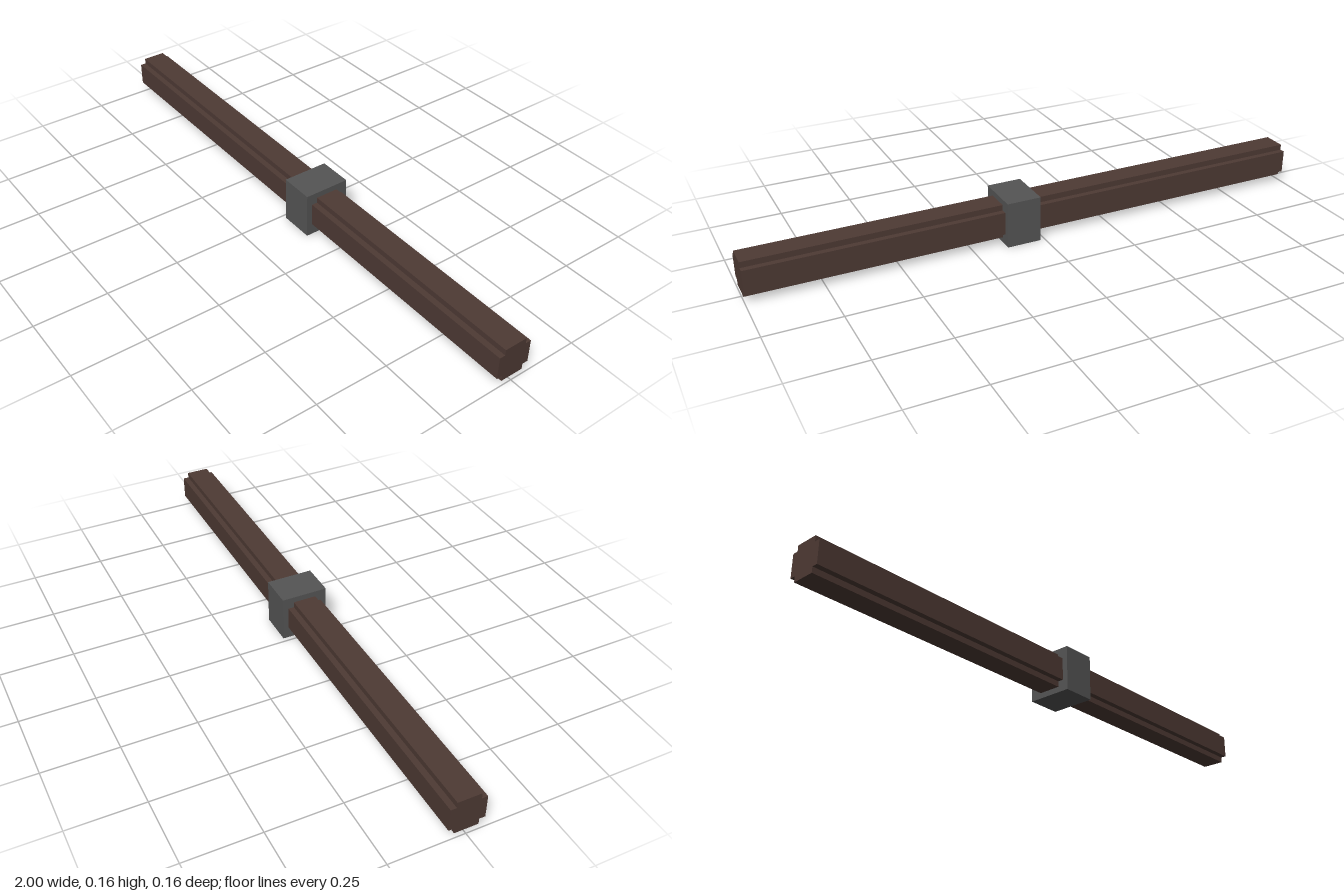
import * as THREE from 'three';

export function createModel() {
  const group = new THREE.Group();
  const wood = new THREE.MeshStandardMaterial({ name: 'darkWood', color: 0x4e3a34 });
  const iron = new THREE.MeshStandardMaterial({ name: 'greyIron', color: 0x555555 });
  const centreY = 0.08;

  // Beam: square section with notched corners, running along x
  const outer = 0.06, inner = 0.04, length = 2;
  const section = new THREE.Shape([
    [inner, -outer], [inner, -inner], [outer, -inner],
    [outer, inner], [inner, inner], [inner, outer],
    [-inner, outer], [-inner, inner], [-outer, inner],
    [-outer, -inner], [-inner, -inner], [-inner, -outer],
  ].map(([x, y]) => new THREE.Vector2(x, y)));
  const beamGeometry = new THREE.ExtrudeGeometry(section, { depth: length, bevelEnabled: false });
  beamGeometry.translate(0, 0, -length / 2).rotateY(Math.PI / 2);
  const beam = new THREE.Mesh(beamGeometry, wood);
  beam.name = 'beam';
  beam.position.y = centreY;
  group.add(beam);

  // Collar: square block around the beam, a little off the middle
  const collar = new THREE.Mesh(new THREE.BoxGeometry(0.12, 0.16, 0.16), iron);
  collar.name = 'collar';
  collar.position.set(0.076, centreY, 0);
  group.add(collar);

  return group;
}
